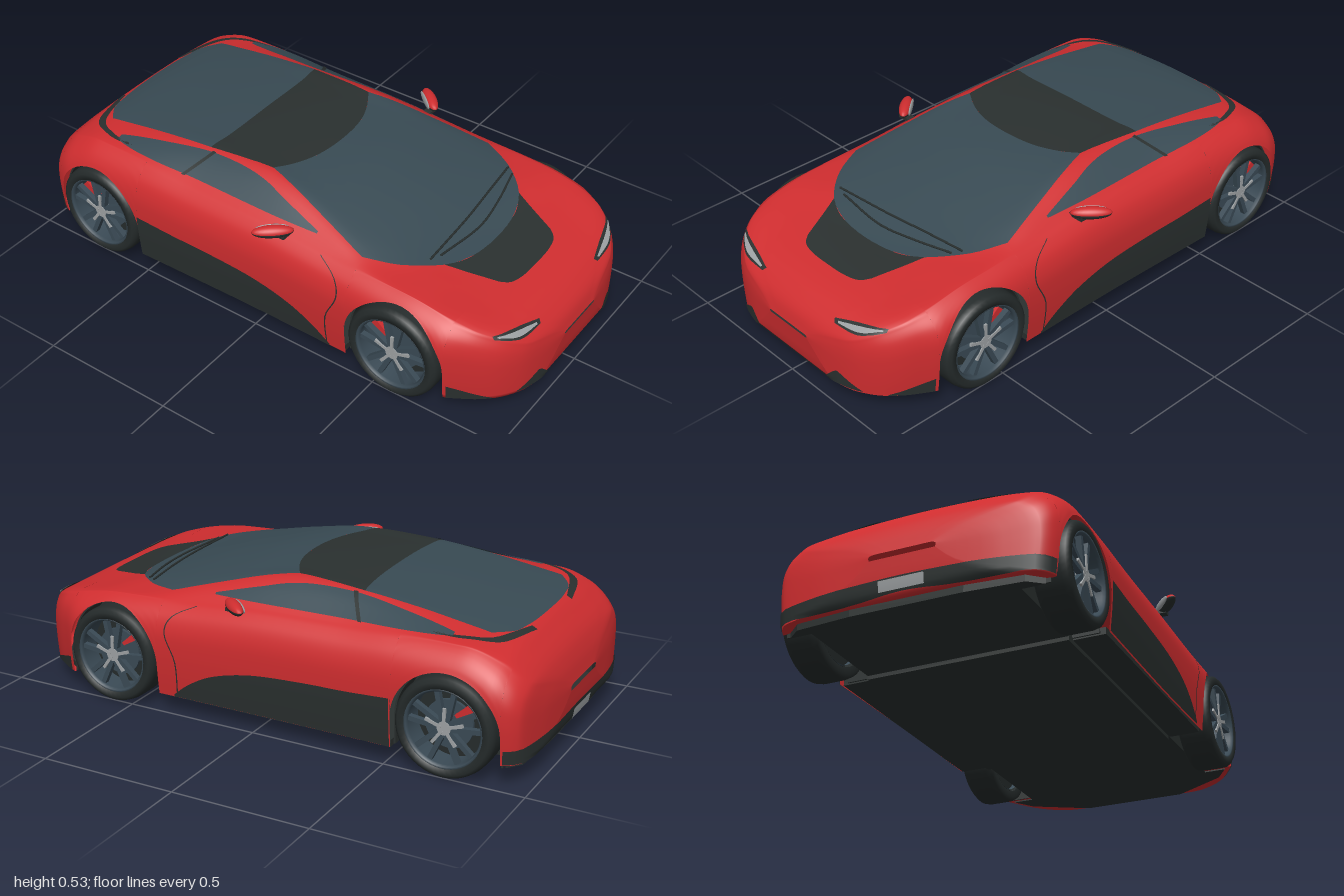
import * as THREE from 'three';

const paint = (name, color) => new THREE.MeshStandardMaterial({ name, color, side: THREE.DoubleSide });

// Smooth monotone curve through [z, value] keys, z descending
function curve(...k) {
  const d = k.slice(1).map((p, i) => (p[1] - k[i][1]) / (p[0] - k[i][0]));
  const m = k.map((_, i) => {
    if (i === 0) return d[0];
    if (i === d.length) return d[i - 1];
    return d[i - 1] * d[i] > 0 ? 2 * d[i - 1] * d[i] / (d[i - 1] + d[i]) : 0;
  });
  return z => {
    let i = 0;
    while (i < d.length - 1 && z < k[i + 1][0]) i++;
    const h = k[i + 1][0] - k[i][0], t = (z - k[i][0]) / h, u = 1 - t;
    return k[i][1] * (1 + 2 * t) * u * u + m[i] * h * t * u * u
      + k[i + 1][1] * t * t * (3 - 2 * t) - m[i + 1] * h * t * t * u;
  };
}

// Body lines along the length
const halfWidth = curve([1, .1], [.985, .22], [.96, .31], [.9, .4], [.82, .46], [.73, .505], [.6, .515], [.35, .508],
  [0, .505], [-.4, .51], [-.7, .515], [-.85, .512], [-.91, .495], [-.955, .46], [-.985, .32], [-1, .12]);
const bottomY = curve([1, .19], [.985, .07], [.96, .065], [.3, .065], [-.5, .065], [-.9, .08], [-.97, .085], [-.985, .1], [-.995, .16], [-1, .22]);
const beltX = curve([1, .09], [.96, .28], [.9, .36], [.82, .41], [.7, .43], [.5, .435], [.3, .43], [0, .425], [-.3, .425],
  [-.5, .43], [-.7, .43], [-.85, .42], [-.92, .4], [-.96, .37], [-1, .1]);
const beltY = curve([1, .2], [.985, .238], [.96, .265], [.9, .31], [.82, .345], [.7, .375], [.6, .39], [.5, .396], [.3, .408],
  [0, .43], [-.3, .437], [-.6, .445], [-.75, .443], [-.87, .41], [-.96, .34], [-.985, .295], [-1, .24]);
const railX = curve([1, .06], [.96, .18], [.9, .24], [.8, .28], [.7, .3], [.6, .33], [.5, .365], [.36, .385], [.2, .355],
  [0, .315], [-.1, .305], [-.3, .305], [-.5, .32], [-.7, .335], [-.8, .34], [-.87, .33], [-.92, .31], [-.96, .26], [-1, .06]);
const railY = curve([1, .2], [.985, .242], [.96, .272], [.9, .315], [.8, .348], [.7, .37], [.6, .392], [.5, .402], [.36, .425],
  [.2, .465], [0, .51], [-.1, .519], [-.3, .513], [-.5, .492], [-.7, .463], [-.8, .447], [-.87, .425], [-.92, .39], [-.96, .35], [-.985, .3], [-1, .24]);
const centreY = curve([1, .2], [.985, .245], [.96, .275], [.9, .315], [.82, .34], [.7, .365], [.66, .372], [.5, .42], [.3, .475],
  [.1, .513], [-.1, .525], [-.2, .527], [-.4, .515], [-.6, .493], [-.8, .462], [-.87, .44], [-.92, .4], [-.96, .355], [-.985, .3], [-1, .24]);

const AXLES = [.575, -.714], AXLE_Y = .175, ARCH = .19;

// Closed cross-section: over the top from left sill to right sill, then back underneath
function section(z, arched) {
  const axle = z > 0 ? AXLES[0] : AXLES[1], W = halfWidth(z), y0 = bottomY(z), yS = beltY(z), xS = beltX(z);
  const yb = arched ? AXLE_Y + Math.sqrt(Math.max(0, ARCH ** 2 - (z - axle) ** 2)) : y0;
  const half = [0, .25, .5, .7, .85, .95, 1].map(k => {
    const y = yb + (yS - yb) * k, h = (y - y0) / (yS - y0);
    return [W + (xS - W) * h ** 7 - .03 * W * (1 - h) ** 3, y];
  });
  const yr = railY(z), yc = centreY(z);
  half.push([railX(z), yr], [railX(z) * .75, yr + (yc - yr) * .5]);
  const pts = [...half, [0, yc], ...half.map(([x, y]) => [-x, y]).reverse()].map(([x, y]) => new THREE.Vector3(x, y, z));
  const ring = new THREE.CatmullRomCurve3(pts, false, 'centripetal').getPoints((pts.length - 1) * 5);
  for (let i = 1; i <= 8; i++) ring.push(new THREE.Vector3(half[0][0] * (i / 4 - 1), yb, z));
  return ring;
}

// Body shell, plus slices of it that panels are projected on
function buildBody() {
  const breaks = [1, AXLES[0] + ARCH, AXLES[0] - ARCH, AXLES[1] + ARCH, AXLES[1] - ARCH, -1], counts = [28, 30, 36, 30, 28];
  const pos = [], rows = [], zs = [];
  let n = 0;
  counts.forEach((c, s) => {
    for (let i = 0; i <= c; i++) {
      const z = breaks[s] + (breaks[s + 1] - breaks[s]) * (1 - Math.cos(Math.PI * i / c)) / 2;
      const ring = section(z, s % 2 === 1);
      n = ring.length;
      ring.forEach(p => pos.push(p.x, p.y, p.z));
      if (i > 0) {
        const row = [], b0 = (zs.length - 1) * n, c0 = zs.length * n;
        const cols = s === 0 || s === 4 ? n - 1 : n - 9;
        for (let j = 0; j < cols; j++) row.push(b0 + j, c0 + j, b0 + j + 1, b0 + j + 1, c0 + j, c0 + j + 1);
        rows.push({ row, z0: zs[zs.length - 1], z1: z });
      }
      zs.push(z);
    }
  });
  const geo = new THREE.BufferGeometry();
  geo.setAttribute('position', new THREE.Float32BufferAttribute(pos, 3));
  geo.setIndex(rows.flatMap(r => r.row));
  geo.computeVertexNormals();
  const slices = [], probe = new THREE.MeshBasicMaterial({ side: THREE.DoubleSide });
  for (let i = 0; i < rows.length; i += 8) {
    const part = rows.slice(i, i + 8), g = new THREE.BufferGeometry();
    g.setAttribute('position', geo.attributes.position);
    g.setIndex(part.flatMap(r => r.row));
    g.boundingBox = new THREE.Box3(new THREE.Vector3(-.7, -.1, part[part.length - 1].z1 - .001), new THREE.Vector3(.7, .7, part[0].z0 + .001));
    slices.push(new THREE.Mesh(g, probe));
  }
  return { geo, slices };
}

// Projection directions: 2D panel coordinates to a ray
const V = (x, y, z) => new THREE.Vector3(x, y, z);
const top = (s = 1) => (x, z) => [V(x * s, 2, z), V(0, -1, 0)];
const side = s => (z, y) => [V(2 * s, y, z), V(-s, 0, 0)];
const front = (s = 1) => (x, y) => [V(x * s, y, 2), V(0, 0, -1)];
const rear = (x, y) => [V(x, y, -2), V(0, 0, 1)];
const wrap = (a, y) => [V(2 * Math.sin(a), y, -.7 - 2 * Math.cos(a)), V(-Math.sin(a), 0, Math.cos(a))];
const sym = pts => [...pts.slice(1).map(([x, y]) => [-x, y]).reverse(), ...pts];

export function createModel() {
  const car = new THREE.Group();
  const red = paint('red paint', 0xcf2d2f), glass = paint('tinted glass', 0x384a53), trim = paint('black trim', 0x2a302f);
  const rubber = paint('tyre rubber', 0x252b2b), alloy = paint('dark alloy', 0x3a4a55), silver = paint('silver', 0x9da1a3);
  const add = (name, geo, mat, parent = car) => {
    const mesh = new THREE.Mesh(geo, mat);
    mesh.name = name;
    parent.add(mesh);
    return mesh;
  };

  const { geo: shell, slices } = buildBody();
  add('bodyShell', shell, red);

  const caster = new THREE.Raycaster();
  let last = V(0, 0, 0);
  const project = ([o, d], lift) => {
    caster.set(o, d);
    const hit = caster.intersectObjects(slices, false)[0];
    if (hit) {
      const nrm = hit.face.normal.clone();
      if (nrm.dot(d) > 0) nrm.negate();
      last = hit.point.addScaledVector(nrm, lift);
    }
    return last.clone();
  };
  // Thin panel lying on the body, ruled between two edge curves
  const panel = (name, mat, A, B, view, nu = 24, nv = 8, lift = .004) => {
    const [a, b] = [A, B].map(e => new THREE.SplineCurve(e.map(p => new THREE.Vector2(...p))));
    const pos = [], idx = [];
    for (let i = 0; i <= nu; i++) for (let j = 0; j <= nv; j++) {
      const p = a.getPoint(i / nu).lerp(b.getPoint(i / nu), j / nv);
      pos.push(...project(view(p.x, p.y), lift).toArray());
      const k = i * (nv + 1) + j;
      if (i < nu && j < nv) idx.push(k, k + nv + 1, k + 1, k + 1, k + nv + 1, k + nv + 2);
    }
    const g = new THREE.BufferGeometry();
    g.setAttribute('position', new THREE.Float32BufferAttribute(pos, 3));
    g.setIndex(idx);
    g.computeVertexNormals();
    add(name, g, mat);
  };

  // Glass, roof and bonnet panels
  const cowl = sym([[0, .66], [.12, .65], [.24, .605], [.34, .5], [.395, .38]]);
  const header = sym([[0, .02], [.08, .015], [.15, 0], [.22, -.03], [.285, -.07]]);
  const roofRear = sym([[0, -.315], [.08, -.315], [.15, -.316], [.23, -.32], [.305, -.33]]);
  panel('windscreen', glass, cowl, header, top(), 32, 20);
  panel('roofPanel', trim, header, roofRear, top(), 24, 10);
  panel('rearWindow', glass, roofRear, sym([[0, -.865], [.1, -.863], [.18, -.855], [.25, -.84], [.315, -.79]]), top(), 24, 18);
  panel('bonnetPanel', trim, sym([[0, .66], [.12, .65], [.18, .635], [.24, .605]]), sym([[0, .82], [.08, .818], [.14, .805], [.17, .775]]), top(), 20, 8);

  // Wipers
  [[[.32, .51], [.15, .53], [0, .545], [-.26, .56]], [[.3, .54], [.15, .575], [0, .595], [-.22, .575]]].forEach(w => {
    const path = new THREE.CatmullRomCurve3(w.map(([x, z]) => project(top()(x, z), .01)));
    add('wiper', new THREE.TubeGeometry(path, 16, .004, 5), trim);
  });

  for (const s of [1, -1]) {
    // Side glass, pillar, sill panel and door seam
    panel('sideWindow', glass, [[.2, .437], [.05, .44], [-.1, .443], [-.3, .446], [-.5, .449], [-.69, .452]],
      [[.2, .442], [.05, .478], [-.1, .507], [-.3, .507], [-.5, .485], [-.69, .457]], side(s), 36, 6);
    panel('windowPillar', trim, [[-.295, .508], [-.36, .444]], [[-.31, .508], [-.375, .444]], side(s), 8, 1, .007);
    const sill = [[.32, .075], [.25, .13], [.15, .18], [0, .215], [-.2, .23], [-.36, .235], [-.522, .245]];
    panel('sillPanel', trim, sill, sill.map(([z]) => [z, .068]), side(s), 36, 8);
    const seam = [[.25, .4], [.33, .36], [.352, .3], [.31, .2], [.31, .075]];
    panel('doorSeam', trim, seam, seam.map(([z, y]) => [z - .005, y]), side(s), 20, 1, .002);
    panel('frontCornerTrim', trim, [[.9, .073], [.84, .1], [.775, .125]], [[.9, .07], [.84, .068], [.775, .068]], side(s), 8, 4);
    panel('rearVent', trim, [[.4, -.62], [.385, -.72], [.33, -.81], [.16, -.867]], [[.407, -.64], [.397, -.74], [.335, -.84], [.16, -.885]], top(s), 20, 2);

    // Headlights and lower bumper fins
    panel('headlightSurround', trim, [[.185, .29], [.28, .308], [.38, .321]], [[.195, .28], [.3, .285], [.38, .312]], front(s), 16, 3);
    panel('headlightLens', silver, [[.205, .288], [.285, .302], [.37, .316]], [[.21, .284], [.3, .291], [.37, .313]], front(s), 16, 2, .006);
    panel('bumperFin', trim, [[.18, .08], [.225, .122], [.25, .118], [.32, .076]], [[.18, .073], [.225, .073], [.25, .073], [.32, .073]], front(s), 12, 4);

    // Door mirror
    const mirror = new THREE.Group();
    mirror.name = 'doorMirror';
    mirror.position.set(s * .482, .442, .075);
    mirror.rotation.y = s * .85;
    add('mirrorCap', new THREE.SphereGeometry(1, 24, 8, 0, Math.PI * 2, 0, Math.PI / 2), red, mirror).scale.set(.072, .022, .024);
    add('mirrorBase', new THREE.SphereGeometry(1, 24, 8, 0, Math.PI * 2, Math.PI / 2, Math.PI / 2), trim, mirror).scale.set(.072, .022, .024);
    const face = add('mirrorGlass', new THREE.SphereGeometry(1, 20, 8), silver, mirror);
    face.scale.set(.058, .016, .006);
    face.position.z = -.02;
    car.add(mirror);
    const arm = add('mirrorArm', new THREE.BoxGeometry(.07, .012, .03), trim);
    arm.position.set(s * .44, .424, .1);
  }
  panel('frontLip', trim, [[-.2, .083], [.2, .083]], [[-.2, .072], [.2, .072]], front(), 16, 2);
  panel('rearDiffuser', trim, [[-1.16, .135], [-.6, .145], [0, .15], [.6, .145], [1.16, .135]],
    [[-1.16, .086], [-.6, .09], [0, .1], [.6, .09], [1.16, .086]], wrap, 40, 6);
  panel('numberPlate', silver, [[-.08, .142], [.08, .142]], [[-.08, .105], [.08, .105]], rear, 6, 3, .009);

  // Underbody
  const plan = [[.2, .965], [.4, .85], [.45, .775], [.37, .775], [.37, .375], [.485, .375], [.485, -.52], [.37, -.52], [.37, -.91], [.45, -.91], [.4, -.95], [.2, -.965]];
  const outline = [...plan, ...plan.map(([x, z]) => [-x, z]).reverse()].map(p => new THREE.Vector2(...p));
  const floor = add('floorPan', new THREE.ExtrudeGeometry(new THREE.Shape(outline), { depth: .025, bevelEnabled: false }), trim);
  floor.rotation.x = Math.PI / 2;
  floor.position.y = .085;
  add('centreTray', new THREE.BoxGeometry(.74, .02, .92), trim).position.set(0, .056, -.095);

  // Wheel wells: arch lining and inner wall
  const arch = (r, inner) => {
    const sh = new THREE.Shape();
    sh.moveTo(r, -.11).lineTo(r, 0).absarc(0, 0, r, 0, Math.PI, false).lineTo(-r, -.11);
    if (inner) sh.lineTo(-inner, -.11).lineTo(-inner, 0).absarc(0, 0, inner, Math.PI, 0, true).lineTo(inner, -.11);
    return sh;
  };
  const tyreProfile = [[.135, -.06], [.16, -.064], [.172, -.056], [.176, -.035], [.176, .035], [.172, .054], [.16, .064], [.138, .062], [.134, .045], [.134, -.06]];
  const turned = pts => new THREE.LatheGeometry(pts.map(p => new THREE.Vector2(...p)), 48).rotateZ(-Math.PI / 2);
  const disc = (r, t) => new THREE.CylinderGeometry(r, r, t, 32).rotateZ(-Math.PI / 2);

  for (const z of AXLES) for (const s of [1, -1]) {
    const well = new THREE.Group();
    well.name = 'wheelWell';
    const lining = (sh, depth) => new THREE.ExtrudeGeometry(sh, { depth, bevelEnabled: false, curveSegments: 24 }).rotateY(Math.PI / 2);
    add('archLining', lining(arch(ARCH + .003, ARCH - .003), .1), trim, well).position.x = s > 0 ? .365 : -.465;
    add('innerWall', lining(arch(ARCH), .004), trim, well).position.x = s * .367 - .002;
    well.position.set(0, AXLE_Y, z);
    car.add(well);

    // Wheel: tyre, rim, brake and five twin spokes
    const wheel = new THREE.Group();
    wheel.name = z > 0 ? 'frontWheel' : 'rearWheel';
    add('tyre', turned(tyreProfile), rubber, wheel);
    add('rimLip', turned([[.127, -.055], [.127, .05], [.132, .06], [.139, .062], [.139, .055], [.134, .045]]), alloy, wheel);
    add('rimBack', disc(.13, .01), rubber, wheel).position.x = -.03;
    add('brakeDisc', disc(.085, .012), alloy, wheel).position.x = .005;
    const caliper = add('brakeCaliper', new THREE.BoxGeometry(.03, .07, .03), red, wheel);
    caliper.position.set(.014, .055, -.062 * s);
    caliper.rotation.x = -.85 * s;
    add('hub', disc(.024, .03), silver, wheel).position.x = .038;
    for (let i = 0; i < 5; i++) {
      const spoke = new THREE.Group();
      spoke.name = 'spoke';
      spoke.rotation.x = i * Math.PI * 2 / 5;
      for (const k of [1, -1]) {
        const arm = add('spokeArm', new THREE.BoxGeometry(.02, .116, .017), alloy, spoke);
        arm.position.set(.04, .076, k * .02);
        arm.rotation.x = k * .2;
      }
      add('spokeInlay', new THREE.BoxGeometry(.008, .06, .011), silver, spoke).position.set(.05, .04, 0);
      wheel.add(spoke);
    }
    wheel.position.set(s * .449, .176, z);
    if (s < 0) wheel.rotation.y = Math.PI;
    car.add(wheel);
  }
  return car;
}
